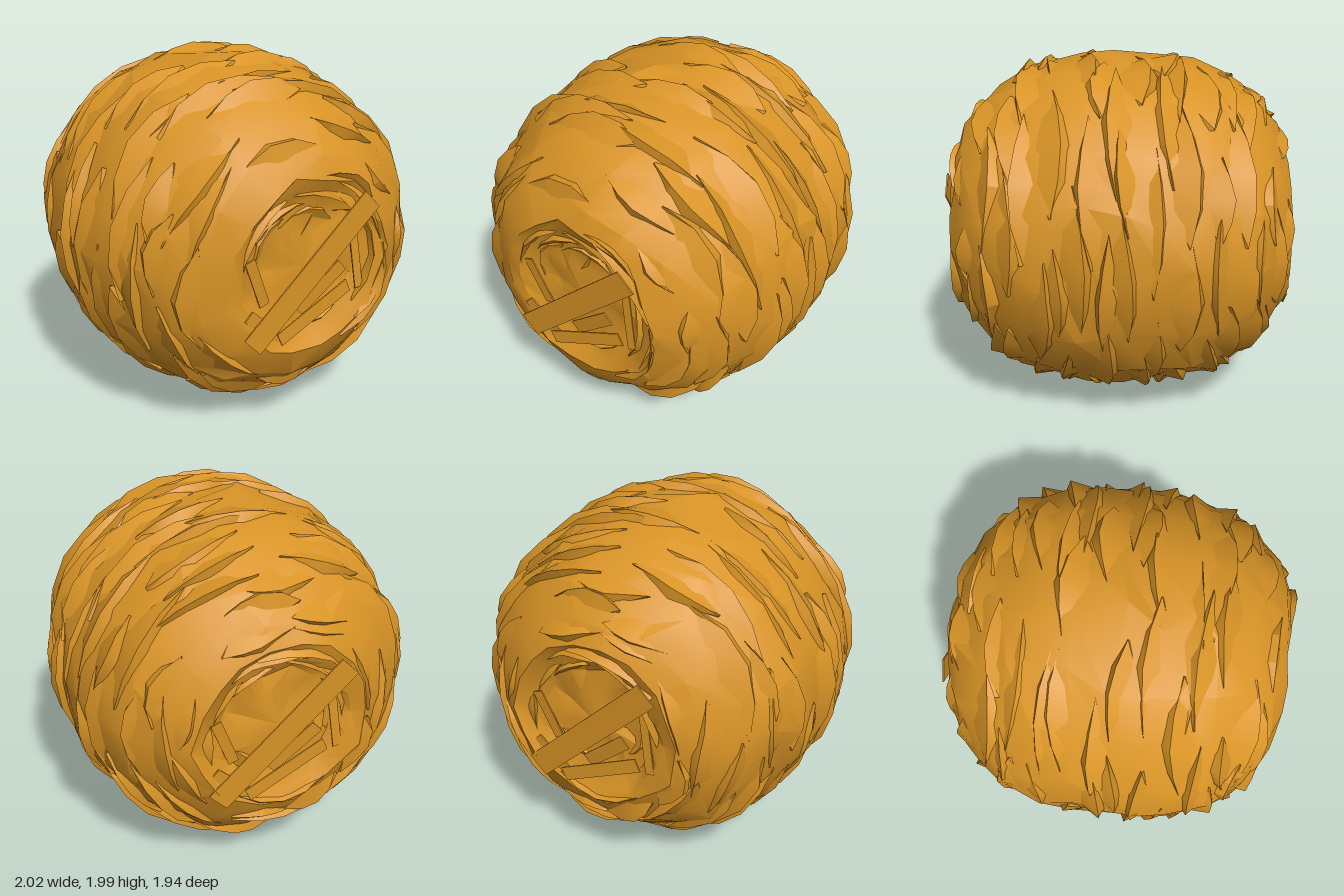
import * as THREE from 'three';
import { toCreasedNormals } from 'three/addons/utils/BufferGeometryUtils.js';

// half profile from the hub of the end face to the middle: [z, radius]
const HALF = [[0.88, 0], [0.86, 0.18], [0.865, 0.33], [0.91, 0.41], [0.95, 0.48], [0.87, 0.635], [0.73, 0.79],
  [0.56, 0.895], [0.38, 0.95], [0.19, 0.975], [0, 0.985]];
const PROFILE = [...HALF.map(([z, r]) => [-z, r]), ...HALF.slice(0, -1).reverse()];
const LAST = PROFILE.length - 1;

let seed = 11;
function rand(a = 0, b = 1) {
  seed = (seed * 16807) % 2147483647;
  return a + (b - a) * (seed / 2147483647);
}

// point on the bale: s runs along the profile, lift moves it off the surface
function surface(s, angle, lift = 0) {
  s = THREE.MathUtils.clamp(s, 0, LAST);
  const i = Math.min(Math.floor(s), LAST - 1), f = s - i;
  const [z0, r0] = PROFILE[i], [z1, r1] = PROFILE[i + 1];
  const dz = z1 - z0, dr = r1 - r0, len = Math.hypot(dz, dr);
  const z = z0 + dz * f - (dr / len) * lift;
  const r = r0 + dr * f + (dz / len) * lift;
  return [r * Math.cos(angle), 1 + r * Math.sin(angle), z];
}

// sheet with creased normals; u goes round the bale, v along it
function sheet(nu, nv, fn, target = null) {
  const pos = [];
  const points = [];
  for (let v = 0; v <= nv; v++) for (let u = 0; u <= nu; u++) points.push(fn(u, v));
  const tri = (...ids) => ids.forEach((k) => pos.push(...points[k]));
  for (let v = 0; v < nv; v++) {
    for (let u = 0; u < nu; u++) {
      const a = v * (nu + 1) + u, b = a + 1, c = a + nu + 1, d = c + 1;
      tri(a, b, d);
      tri(a, d, c);
    }
  }
  if (target) {
    for (const p of pos) target.push(p);
    return null;
  }
  return finish(pos);
}

function finish(pos) {
  const g = new THREE.BufferGeometry();
  g.setAttribute('position', new THREE.Float32BufferAttribute(pos, 3));
  return toCreasedNormals(g, 0.45);
}

export function createModel() {
  seed = 11;
  const straw = new THREE.MeshStandardMaterial({ color: 0xd99426, side: THREE.DoubleSide });
  straw.name = 'golden straw';
  const bale = new THREE.Group();
  bale.name = 'roundBale';
  const add = (geometry, name, parent = bale) => {
    const m = new THREE.Mesh(geometry, straw);
    m.name = name;
    parent.add(m);
    return m;
  };

  // rolled body with uneven rings
  const N = 18;
  const jitter = PROFILE.map(() => Array.from({ length: N }, () => [rand(-0.25, 0.25), rand(-0.025, 0.008), rand(-0.08, 0.08)]));
  add(sheet(N, LAST, (u, v) => {
    const [ds, lift, da] = jitter[v][u % N];
    const pole = v === 0 || v === LAST;
    return surface(pole ? v : v + ds, (u / N) * Math.PI * 2 + da, pole ? 0 : lift);
  }), 'rolledBody');

  // overlapping wedges of straw that wrap around the roll
  const flakes = [];
  const flake = (s, angle, length, width, height) => {
    const flip = rand() < 0.3 ? -1 : 1;
    const steep = rand() < 0.65;
    const drift = rand(-0.3, 0.3);
    const taper = [0.1, 0.8, 1, 0.6, 0];
    sheet(4, 2, (u, v) => {
      const t = flip > 0 ? u : 4 - u;
      const w = taper[t] * width;
      const across = v === 0 ? -0.5 : v === 2 ? 0.5 : steep ? -0.3 : 0.3;
      const lift = v === 1 ? height * taper[t] - 0.01 : -0.03;
      return surface(s + across * w + drift * (u / 4 - 0.5), angle + length * (u / 4), lift);
    }, flakes);
  };
  for (let s = 4.6; s <= LAST - 4.6; s += 0.72) {
    const count = 8;
    const start = rand(0, 6.28);
    for (let k = 0; k < count; k++) {
      flake(s + rand(-0.3, 0.3), start + (k / count) * Math.PI * 2 + rand(-0.2, 0.2),
        rand(0.5, 1), rand(0.6, 1.2), rand(0.025, 0.042));
    }
  }
  // swirl of straw inside both end faces
  for (const side of [0, 1]) {
    for (let k = 0; k < 12; k++) {
      const s = rand(1.3, 4.2);
      flake(side ? LAST - s : s, rand(0, 6.28), rand(0.7, 1.4), rand(0.5, 0.9), rand(0.02, 0.045));
    }
  }
  add(finish(flakes), 'strawWedges');

  // loose stalks lying across each end: [x, y, z, length, width, turn, tilt]
  const STALKS = [
    [0, 0.98, 0.955, 1.0, 0.14, 0.77, -0.02],
    [0.04, 0.73, 0.925, 0.5, 0.08, 0.42, 0.06],
    [0.08, 0.86, 0.915, 0.34, 0.08, 0.72, -0.08],
    [-0.26, 0.7, 0.915, 0.3, 0.07, -0.75, 0.05],
    [-0.3, 0.96, 0.89, 0.3, 0.06, -1.2, 0.08],
    [0.32, 0.98, 0.9, 0.36, 0.05, 1.7, 0.06],
  ];
  for (const [name, turn] of [['frontStalks', 0], ['backStalks', Math.PI]]) {
    const end = new THREE.Group();
    end.name = name;
    end.rotation.y = turn;
    STALKS.forEach(([x, y, z, length, width, spin, tilt], i) => {
      const stalk = add(new THREE.BoxGeometry(length, width, 0.008), i ? 'looseStalk' : 'broadStalk', end);
      stalk.position.set(x, y, z);
      stalk.rotation.set(0, tilt, spin, 'ZYX');
    });
    bale.add(end);
  }
  return bale;
}
